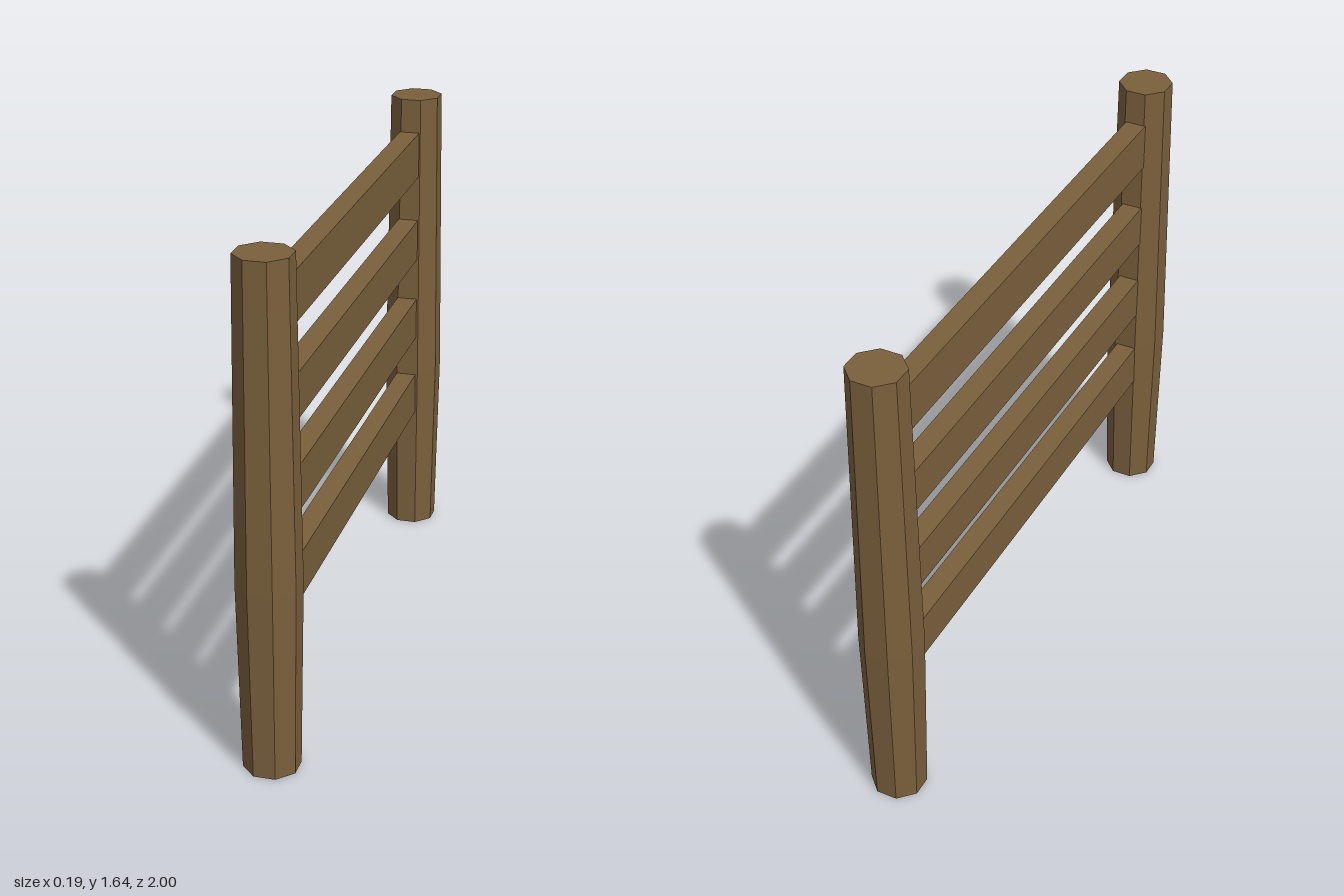
import * as THREE from 'three';

const wood = new THREE.MeshStandardMaterial({ color: 0x7a603c, flatShading: true });

// Octagonal post with flats facing the axes, widest at the waist
function makePost(name, z) {
  const toCorner = 1 / Math.cos(Math.PI / 8);
  const profile = [[0, 0], [0.083, 0], [0.094, 0.62], [0.083, 1.64], [0, 1.64]]
    .map(([r, y]) => new THREE.Vector2(r * toCorner, y));
  const post = new THREE.Mesh(new THREE.LatheGeometry(profile, 8, Math.PI / 8), wood);
  post.name = name;
  post.position.z = z;
  return post;
}

export function createModel() {
  const fence = new THREE.Group();
  fence.name = 'fence';

  fence.add(makePost('frontPost', 0.905), makePost('backPost', -0.905));

  // Four horizontal rails, bottom and top heights, ends set into the posts
  const rails = [[0.46, 0.61], [0.757, 0.905], [1.057, 1.203], [1.363, 1.523]];
  rails.forEach(([low, high], i) => {
    const rail = new THREE.Mesh(new THREE.BoxGeometry(0.07, high - low, 1.74), wood);
    rail.name = `rail${i + 1}`;
    rail.position.set(-0.004, (low + high) / 2, 0);
    fence.add(rail);
  });

  return fence;
}
